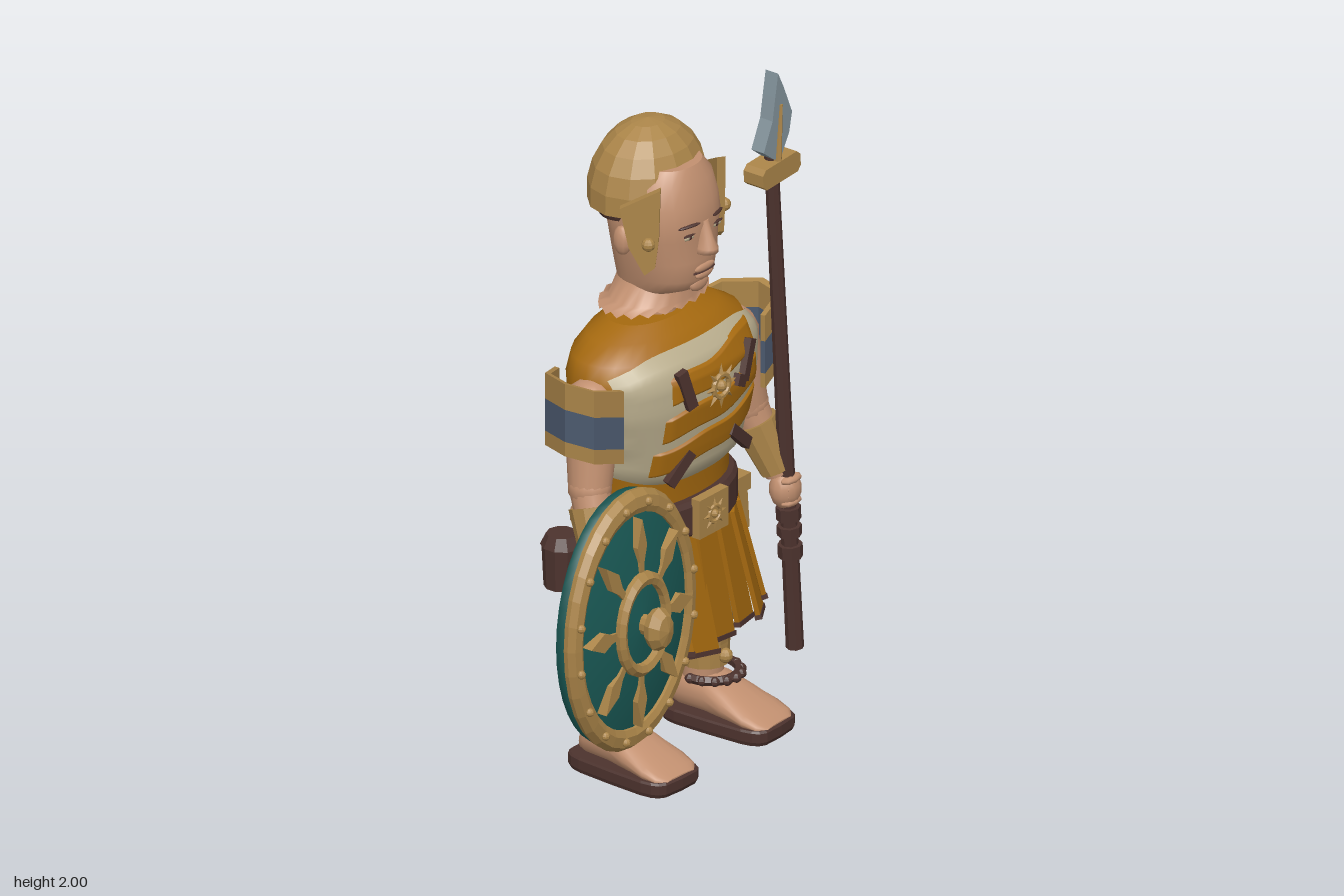
import * as THREE from 'three';

const mat = (name, color, flatShading = false) => {
  const m = new THREE.MeshStandardMaterial({ color, side: THREE.DoubleSide, flatShading });
  m.name = name;
  return m;
};
const V = (x, y, z) => new THREE.Vector3(x, y, z);
const poly = pts => new THREE.Shape(pts.map(q => new THREE.Vector2(...q)));
const slab = (pts, depth) => new THREE.ExtrudeGeometry(poly(pts), { depth, bevelEnabled: false });
const CX = 0.115; // body centre line

export function createModel() {
  const root = new THREE.Group();
  root.name = 'warrior';
  const cloth = mat('ochre cloth', 0xa5690f), skin = mat('skin', 0xc29070), gold = mat('brass', 0xab8549, true),
    cream = mat('cream linen', 0xb8ac8c), dark = mat('dark leather', 0x4d332e, true), teal = mat('teal', 0x1a5a56),
    blue = mat('slate blue', 0x4d5b70, true), steel = mat('steel', 0x82929a, true);

  const add = (name, geo, m, p = [0, 0, 0], parent = root) => {
    const o = new THREE.Mesh(geo, m);
    o.name = name;
    o.position.set(...p);
    parent.add(o);
    return o;
  };
  const box = (name, m, size, p, parent) => add(name, new THREE.BoxGeometry(...size), m, p, parent);
  const ball = (name, m, r, p, parent, seg = 10) => add(name, new THREE.SphereGeometry(r, seg, 7), m, p, parent);
  // tapered rod between two points
  const rod = (name, m, a, b, ra, rb = ra, seg = 10) => {
    const o = add(name, new THREE.CylinderGeometry(rb, ra, a.distanceTo(b), seg), m);
    o.position.copy(a).lerp(b, 0.5);
    o.quaternion.setFromUnitVectors(V(0, 1, 0), b.clone().sub(a).normalize());
    return o;
  };
  // cross-sections [y, half width, front z, back z, centre x], rising in y
  const loft = (rings, n = 2, seg = 28, caps = true) => {
    const pos = [], idx = [];
    const ring = ([y, hw, zf, zb, cx = CX]) => {
      for (let j = 0; j < seg; j++) {
        const t = j / seg * Math.PI * 2, c = Math.cos(t), s = Math.sin(t);
        pos.push(cx + hw * Math.sign(c) * Math.abs(c) ** (2 / n), y,
          (zf + zb) / 2 + (zf - zb) / 2 * Math.sign(s) * Math.abs(s) ** (2 / n));
      }
    };
    rings.forEach(ring);
    for (let i = 0; i < rings.length - 1; i++) for (let j = 0; j < seg; j++) {
      const a = i * seg + j, b = i * seg + (j + 1) % seg;
      idx.push(a, a + seg, b, b, a + seg, b + seg);
    }
    if (caps) [rings[0], rings[rings.length - 1]].forEach((r, k) => {
      const s = pos.length / 3;
      ring(r);
      pos.push(r[4] ?? CX, r[0], (r[2] + r[3]) / 2);
      for (let j = 0; j < seg; j++) {
        const e = [s + j, s + (j + 1) % seg];
        idx.push(s + seg, e[k], e[1 - k]);
      }
    });
    const g = new THREE.BufferGeometry();
    g.setAttribute('position', new THREE.Float32BufferAttribute(pos, 3));
    g.setIndex(idx);
    g.computeVertexNormals();
    return g;
  };
  // front z of a loft at x, y
  const frontZ = (rings, n, x, y) => {
    let i = 0;
    while (i < rings.length - 2 && rings[i + 1][0] < y) i++;
    const k = THREE.MathUtils.clamp((y - rings[i][0]) / (rings[i + 1][0] - rings[i][0]), 0, 1);
    const [hw, zf, zb] = [1, 2, 3].map(c => THREE.MathUtils.lerp(rings[i][c], rings[i + 1][c], k));
    const q = Math.min(1, Math.abs(x - CX) / hw);
    return (zf + zb) / 2 + (zf - zb) / 2 * (1 - q ** n) ** (1 / n);
  };

  // torso
  const T = [[0.7, 0.245, 0.07, -0.22], [0.85, 0.25, 0.065, -0.225], [1.0, 0.285, 0.09, -0.25], [1.13, 0.325, 0.105, -0.265],
    [1.22, 0.335, 0.1, -0.265], [1.28, 0.31, 0.075, -0.255], [1.32, 0.24, 0.03, -0.235], [1.35, 0.16, -0.01, -0.2]];
  add('tunic', loft(T, 2.2), cloth);
  add('hips', loft([[0.49, 0.14, 0.02, -0.19], [0.53, 0.225, 0.05, -0.255], [0.59, 0.255, 0.07, -0.28], [0.67, 0.255, 0.07, -0.28], [0.73, 0.245, 0.07, -0.23]]), cloth);
  add('belt', loft([[0.7, 0.265, 0.09, -0.235], [0.715, 0.275, 0.1, -0.245], [0.8, 0.275, 0.1, -0.245], [0.815, 0.265, 0.09, -0.235]]), dark);
  box('buckle', gold, [0.13, 0.12, 0.03], [CX, 0.765, 0.105]);
  const sun = (name, p, r) => {
    const g = new THREE.Group();
    g.name = name;
    g.position.set(...p);
    root.add(g);
    add('sunRing', new THREE.TorusGeometry(r * 0.5, r * 0.12, 6, 14), gold, [0, 0, 0], g);
    ball('sunCentre', gold, r * 0.25, [0, 0, 0], g);
    for (let i = 0; i < 8; i++) {
      const t = i * Math.PI / 4;
      add('sunRay', new THREE.ConeGeometry(r * 0.13, r * 0.45, 4), gold, [Math.cos(t) * r * 0.8, Math.sin(t) * r * 0.8, 0], g).rotation.z = t - Math.PI / 2;
    }
  };
  sun('buckleSun', [CX, 0.765, 0.122], 0.05);

  // chest plate and its bands follow the torso, edges turned in
  const patch = (name, m, x0, x1, lo, hi, off, tuck) => {
    const g = new THREE.PlaneGeometry(1, 1, 24, 16), p = g.attributes.position;
    for (let i = 0; i < p.count; i++) {
      const u = p.getX(i) + 0.5, v = p.getY(i) + 0.5;
      const edge = Math.min(u, v, 1 - u, 1 - v) < 0.01;
      const x = x0 + (x1 - x0) * u, y = lo(x) + (hi(x) - lo(x)) * v;
      p.setXYZ(i, x, y, frontZ(T, 2.2, x, y) + (edge ? tuck : off));
    }
    g.computeVertexNormals();
    add(name, g, m);
  };
  const bow = x => ((x - CX) / 0.31) ** 4;
  patch('breastplate', cream, CX - 0.31, CX + 0.31, x => 0.89 + 0.07 * bow(x), x => 1.3 - 0.05 * bow(x), 0.03, 0.012);
  [0.965, 1.07, 1.178].forEach((y, i) => {
    const slope = x => y + 0.14 * (x - CX) + 0.006 * Math.sin(x * 25 + i);
    patch('chestBand', cloth, CX - 0.22 + 0.02 * i, CX + 0.235 - 0.01 * i, slope, x => slope(x) + 0.082, 0.038, 0.026);
  });
  [[-0.04, 1.26, 0, 1.14], [0.28, 1.25, 0.23, 1.14], [0.23, 1.14, 0.19, 1.16], [-0.06, 0.91, 0.02, 0.99], [0.19, 1.0, 0.3, 0.91]].forEach(([a, b, c, d]) => {
    const s = box('chestStrap', dark, [0.035, Math.hypot(c - a, d - b), 0.022], [(a + c) / 2, (b + d) / 2, 0]);
    s.position.z = frontZ(T, 2.2, s.position.x, s.position.y) + 0.038;
    s.rotation.z = -Math.atan2(c - a, d - b);
    s.rotation.y = (s.position.x - CX) * 1.6;
  });
  sun('chestSun', [CX, 1.17, 0.146], 0.068);

  // skirt strips round the front and sides, each with a slanted hem
  for (let i = 0; i < 11; i++) {
    const t = (i - 5) * 0.36, len = 0.34 + 0.025 * ((i * 5) % 3) / 2;
    const g = new THREE.Group();
    g.name = 'skirtStrip';
    g.position.set(CX + 0.262 * Math.sin(t), 0.71, -0.075 + 0.165 * Math.cos(t));
    g.rotation.set(-0.12 - 0.15 * Math.abs(Math.sin(t)), Math.atan2(Math.sin(t) / 0.27, Math.cos(t) / 0.17) + 0.12, 0.06, 'YXZ');
    root.add(g);
    add('strip', slab([[-0.05, 0], [-0.058, 0.025 - len], [0.058, -len], [0.05, 0]], 0.014), cloth, [0, 0, -0.007], g);
    box('stripHem', dark, [0.122, 0.014, 0.02], [0, 0.012 - len, 0], g).rotation.z = -0.212;
  }
  box('hipPouch', gold, [0.075, 0.15, 0.13], [0.435, 0.615, -0.105]).rotation.z = 0.08;
  box('pouchFlap', gold, [0.09, 0.05, 0.145], [0.43, 0.69, -0.105]);
  add('flask', new THREE.CylinderGeometry(0.058, 0.052, 0.13, 10), dark, [-0.14, 0.6, -0.225]);
  add('flaskCap', new THREE.CylinderGeometry(0.045, 0.062, 0.035, 10), dark, [-0.14, 0.68, -0.225]);

  // neck and head
  add('neck', new THREE.CylinderGeometry(0.055, 0.058, 0.14, 16), skin, [CX, 1.38, -0.085]);
  const H = [[1.43, 0.1, 0.0, -0.19], [1.455, 0.112, 0.06, -0.195], [1.49, 0.122, 0.083, -0.2], [1.55, 0.138, 0.088, -0.205],
    [1.62, 0.15, 0.085, -0.213], [1.66, 0.155, 0.093, -0.22], [1.72, 0.152, 0.085, -0.22], [1.78, 0.14, 0.068, -0.21], [1.825, 0.1, 0.045, -0.16]];
  add('head', loft(H, 2.3), skin);
  const frill = loft([[1.385, 0.195, 0.03, -0.225], [1.405, 0.15, 0.025, -0.21], [1.46, 0.112, 0.02, -0.196]], 2, 40, false);
  for (let j = 0; j < 40; j += 2) frill.attributes.position.setY(j, 1.4);
  frill.computeVertexNormals();
  add('neckFrill', frill, skin);
  const face = (name, m, x, y, sx, sy, sz, off = 0) => {
    const o = ball(name, m, 1, [CX + x, y, frontZ(H, 2.3, CX + x, y) + off], root, 14);
    o.scale.set(sx, sy, sz);
    return o;
  };
  add('nose', loft([[1.565, 0.018, 0.1, 0.05], [1.575, 0.034, 0.128, 0.05], [1.59, 0.03, 0.13, 0.05], [1.62, 0.02, 0.115, 0.05], [1.67, 0.018, 0.096, 0.05]], 2, 16), skin);
  face('upperLip', skin, 0, 1.524, 0.045, 0.012, 0.008);
  face('mouth', dark, 0, 1.514, 0.05, 0.003, 0.01);
  face('lowerLip', skin, 0, 1.502, 0.038, 0.013, 0.009);
  face('chin', skin, 0, 1.468, 0.04, 0.024, 0.014, -0.004);
  for (const s of [-1, 1]) {
    face('eye', cream, s * 0.06, 1.633, 0.024, 0.007, 0.005);
    face('pupil', dark, s * 0.06, 1.633, 0.009, 0.007, 0.007);
    face('eyelid', dark, s * 0.06, 1.641, 0.028, 0.003, 0.007);
    face('eyebrow', dark, s * 0.064, 1.67, 0.038, 0.005, 0.007).rotation.set(0, s * 0.35, s * -0.08);
    ball('ear', skin, 1, [CX + s * 0.152, 1.61, -0.09]).scale.set(0.02, 0.045, 0.03);
    // cheek guard, turned in toward the face
    const guard = add('cheekGuard', slab([[-0.045, 1.8], [-0.04, 1.64], [-0.03, 1.56], [0, 1.535], [0.045, 1.62], [0.07, 1.74]], 0.025).translate(0, 0, -0.0125), gold, [CX + s * 0.163, 0, 0.0]);
    guard.rotation.y = Math.PI / 2 - s * 0.6;
    ball('guardStud', gold, 0.02, [CX + s * 0.172, 1.635, 0.02]);
  }
  // helmet
  const dome = add('helmetDome', new THREE.SphereGeometry(1, 14, 6, 0, Math.PI * 2, 0, Math.PI * 0.54), gold, [CX, 1.72, -0.118]);
  dome.scale.set(0.195, 0.21, 0.16);
  add('helmetLining', loft([[1.665, 0.16, -0.03, -0.235], [1.71, 0.178, -0.02, -0.25]]), dark);

  // shoulder guards, arms and legs
  const outer = [[0.3, -0.215], [0.4, -0.17], [0.45, -0.06], [0.43, 0.03], [0.32, 0.05]];
  for (const s of [-1, 1]) {
    const pts = [...outer, ...outer.map(([x, z]) => [0.3 + (x - 0.3) * 0.88, -0.08 + (z + 0.08) * 0.88]).reverse()].map(([x, z]) => [s * (x - 0.3), -z]);
    const g = new THREE.Group();
    g.name = 'shoulderGuard';
    g.position.set(CX + s * 0.3, 0, 0);
    root.add(g);
    [[1.01, 0.045, gold], [1.055, 0.1, blue], [1.155, 0.08, gold]].forEach(([y, depth, m]) => {
      const band = slab(pts, depth).rotateX(-Math.PI / 2), p = band.attributes.position;
      // higher toward the outside
      for (let i = 0; i < p.count; i++) p.setY(i, p.getY(i) + 0.3 * s * p.getX(i));
      band.computeVertexNormals();
      add('guardBand', band, m, [0, y, 0], g);
    });

    const shoulder = V(CX + s * 0.31, 1.16, -0.07), elbow = V(CX + s * 0.355, 0.93, -0.045);
    const wrist = s > 0 ? V(0.515, 0.72, 0.035) : V(-0.29, 0.72, 0.03);
    ball('shoulder', skin, 0.085, shoulder.toArray(), root, 16);
    rod('upperArm', skin, elbow, shoulder, 0.062, 0.082, 18);
    ball('elbow', skin, 0.064, elbow.toArray(), root, 16);
    rod('forearm', skin, wrist, elbow, 0.04, 0.06, 16);
    rod('bracer', gold, wrist.clone().lerp(elbow, 0.05), wrist.clone().lerp(elbow, 0.75), 0.05, 0.068, 10);
    const hand = V(s > 0 ? 0.52 : -0.3, 0.675, 0.055);
    ball('hand', skin, 1, hand.toArray(), root, 14).scale.set(0.05, 0.06, 0.045);
    for (let i = 0; i < 4; i++) ball('finger', skin, 1, [hand.x, hand.y + 0.035 - i * 0.023, hand.z + 0.02], root, 8).scale.set(0.042, 0.014, 0.022);
    // bare hip beside the belt
    ball('hipSide', skin, 1, [CX + s * 0.215, 0.76, -0.15], root, 16).scale.set(0.06, 0.055, 0.065);

    const lx = CX + s * 0.215;
    add('leg', loft([[0.06, 0.058, -0.03, -0.15, lx], [0.2, 0.062, -0.03, -0.15, lx], [0.4, 0.082, -0.002, -0.165, lx],
      [0.5, 0.1, 0.015, -0.185, lx - s * 0.03], [0.62, 0.115, 0.03, -0.2, lx - s * 0.07]], 2, 18), skin);
    const greave = loft([[0.17, 0.07, -0.015, -0.155, lx], [0.24, 0.075, -0.012, -0.165, lx], [0.33, 0.092, 0, -0.185, lx], [0.43, 0.092, 0.012, -0.175, lx]], 2, 14, false);
    for (let j = 44; j < 48; j++) greave.attributes.position.setY(j, 0.5 - 0.025 * Math.abs(j - 45.5)); // raised knee
    greave.computeVertexNormals();
    add('greave', greave, gold);
    ball('greaveStud', gold, 0.022, [lx, 0.205, -0.01]);
    // beaded strap over the front of the ankle
    const strap = add('ankleStrap', new THREE.TorusGeometry(1, 0.16, 5, 12, Math.PI).rotateX(Math.PI / 2), dark, [lx, 0.147, -0.07]);
    strap.scale.set(0.083, 0.09, 0.09);
    for (let i = 0; i <= 8; i++) {
      const t = i * Math.PI / 8;
      ball('ankleBead', dark, 0.015, [lx + 0.085 * Math.cos(t), 0.147, -0.07 + 0.1 * Math.sin(t)], root, 6);
    }
    // foot and sandal
    const foot = new THREE.Group();
    foot.name = 'foot';
    foot.position.x = lx;
    foot.rotation.y = s * 0.05;
    root.add(foot);
    add('footSkin', loft([[-0.165, 0.045, -0.03, -0.1, 0], [-0.13, 0.068, -0.03, -0.14, 0], [-0.04, 0.075, -0.03, -0.15, 0],
      [0.03, 0.085, -0.03, -0.12, 0], [0.11, 0.092, -0.03, -0.085, 0], [0.155, 0.085, -0.03, -0.065, 0], [0.178, 0.06, -0.035, -0.05, 0]], 2.4, 18).rotateX(Math.PI / 2), skin, [0, 0, 0], foot);
    add('sole', loft([[0, 0.1, 0.18, -0.18, 0], [0.012, 0.104, 0.186, -0.186, 0], [0.04, 0.104, 0.186, -0.186, 0], [0.046, 0.1, 0.18, -0.18, 0]], 5, 20), dark, [0, 0, 0], foot);
  }

  // oval shield
  const shield = new THREE.Group();
  shield.name = 'shield';
  shield.position.set(-0.3, 0.595, 0);
  shield.scale.set(0.285, 0.4, 1);
  root.add(shield);
  const turn = (name, m, pts, seg) => add(name, new THREE.LatheGeometry(pts.map(q => new THREE.Vector2(...q)), seg).rotateX(Math.PI / 2), m, [0, 0, 0], shield);
  turn('shieldDisc', teal, [[0, 0.105], [0.9, 0.095], [0.97, 0.1], [0.98, 0.135], [0.85, 0.155], [0.5, 0.182], [0, 0.2]], 40);
  turn('shieldRim', gold, [[0.83, 0.14], [0.99, 0.132], [1, 0.148], [0.96, 0.168], [0.88, 0.174], [0.83, 0.166], [0.83, 0.14]], 32);
  turn('innerRing', gold, [[0.3, 0.17], [0.4, 0.17], [0.4, 0.2], [0.36, 0.214], [0.31, 0.208], [0.3, 0.17]], 24);
  turn('boss', gold, [[0.08, 0.18], [0.08, 0.222], [0.14, 0.228], [0.17, 0.25], [0.12, 0.278], [0, 0.288]], 10);
  const ray = [[0.4, -0.03], [0.48, -0.035], [0.6, -0.075], [0.81, 0], [0.6, 0.075], [0.48, 0.035], [0.4, 0.03]];
  for (let i = 0; i < 8; i++) add('shieldRay', slab(ray, 0.035), gold, [0, 0, 0.157], shield).rotation.z = i * Math.PI / 4;
  for (let i = 0; i < 16; i++) {
    const t = (i + 0.5) * Math.PI / 8;
    ball('rimStud', gold, 0.013, [-0.3 + 0.26 * Math.cos(t), 0.595 + 0.365 * Math.sin(t), 0.174], root, 8);
  }
  for (const s of [-1, 1]) rod('shieldGrip', dark, V(-0.3 + s * 0.04, 0.46, 0.085), V(-0.3 + s * 0.08, 0.74, 0.06), 0.014, 0.014, 6);

  // spear
  const at = y => V(0.555 - (y - 0.17) * 0.0686, y, 0.062);
  rod('spearShaft', dark, at(0.17), at(1.8), 0.026, 0.02, 8);
  [[0.46, 0.5], [0.53, 0.56], [0.58, 0.62]].forEach(([a, b]) => rod('shaftCollar', dark, at(a), at(b), 0.036, 0.036, 8));
  const guardShape = [[-0.085, -0.018], [-0.07, -0.032], [0.07, -0.032], [0.085, -0.018], [0.085, 0.018], [0.07, 0.032], [-0.07, 0.032], [-0.085, 0.018]];
  add('crossGuard', slab(guardShape, 0.07), gold, [0.452, 1.7, 0.027]).rotation.z = 0.06;
  const blade = [[0.45, 2], [0.475, 1.95], [0.513, 1.86], [0.5, 1.8], [0.46, 1.73], [0.43, 1.74], [0.385, 1.775], [0.425, 1.86], [0.437, 1.93]];
  add('spearBlade', slab(blade, 0.045), steel, [0, 0, 0.04]);
  rod('bladeRib', gold, V(0.448, 1.72, 0.085), V(0.462, 1.9, 0.085), 0.012, 0.006, 6);
  return root;
}
